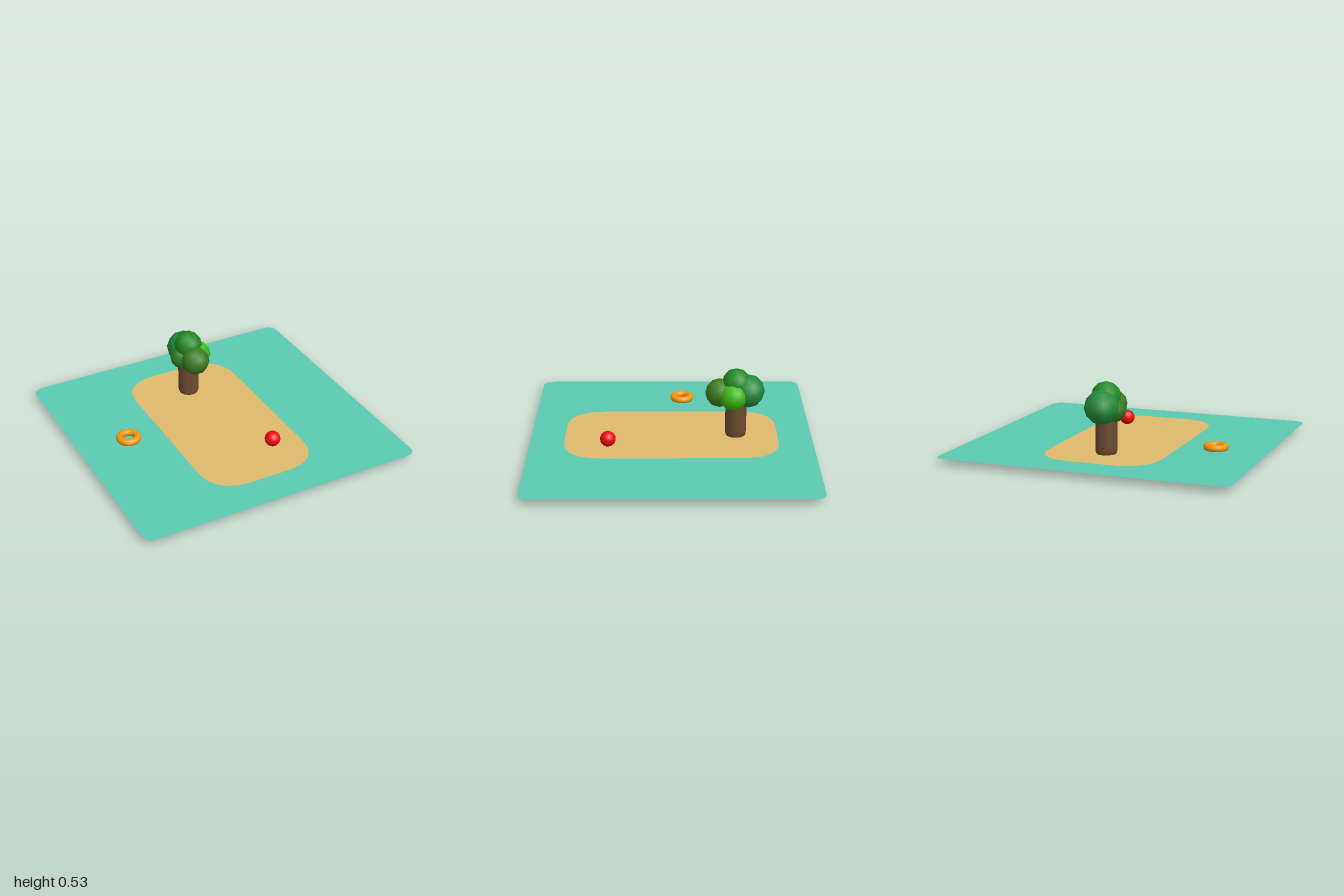
import * as THREE from 'three';

const paint = (color, extra = {}) => new THREE.MeshStandardMaterial({ color, ...extra });

function addPart(parent, name, geometry, material, x, y, z) {
  const mesh = new THREE.Mesh(geometry, material);
  mesh.name = name;
  mesh.position.set(x, y, z);
  parent.add(mesh);
  return mesh;
}

// Flat horizontal panel with softly curved corners
function roundedPanel(w, d, r) {
  const s = new THREE.Shape();
  s.moveTo(-w + r, -d);
  s.lineTo(w - r, -d);
  s.quadraticCurveTo(w, -d, w, -d + r);
  s.lineTo(w, d - r);
  s.quadraticCurveTo(w, d, w - r, d);
  s.lineTo(-w + r, d);
  s.quadraticCurveTo(-w, d, -w, d - r);
  s.lineTo(-w, -d + r);
  s.quadraticCurveTo(-w, -d, -w + r, -d);
  return new THREE.ShapeGeometry(s, 16).rotateX(-Math.PI / 2);
}

export function createModel() {
  const model = new THREE.Group();
  model.name = 'beachIsland';

  // Water sheet and the sand patch lying just above it
  addPart(model, 'water', roundedPanel(1, 0.97, 0.08),
    paint(0x5bc9b1, { side: THREE.DoubleSide }), 0, 0.042, 0);
  addPart(model, 'sand', roundedPanel(0.4, 0.735, 0.27), paint(0xdfb96d), 0, 0.044, 0);

  // Tree: capsule trunk under a cluster of low-poly leaf balls
  const tree = new THREE.Group();
  tree.name = 'tree';
  tree.position.set(0, 0, -0.445);
  model.add(tree);
  addPart(tree, 'trunk', new THREE.CapsuleGeometry(0.073, 0.26, 8, 24), paint(0x6b4a2f), 0, 0.203, 0);
  const leaves = [
    // name, x, y, z, radius, color
    ['leavesTop', 0, 0.427, 0, 0.1, 0x1f8a1f],
    ['leavesFront', 0, 0.354, 0.113, 0.1, 0x3a7d1e],
    ['leavesBack', 0, 0.367, -0.08, 0.116, 0x228b3a],
    ['leavesLeft', 0.058, 0.347, 0.023, 0.097, 0x3db912],
    ['leavesRight', -0.052, 0.337, 0, 0.081, 0x2f7d1e],
  ];
  for (const [name, x, y, z, r, color] of leaves) {
    addPart(tree, name, new THREE.IcosahedronGeometry(r, 1), paint(color), x, y, z);
  }

  // Beach ball on the sand
  addPart(model, 'ball', new THREE.SphereGeometry(0.053, 32, 20), paint(0xee0a0a), 0.193, 0.095, 0.433);

  // Swim ring floating in the water
  const ring = new THREE.TorusGeometry(0.061, 0.025, 16, 40).rotateX(Math.PI / 2);
  addPart(model, 'swimRing', ring, paint(0xf2960f), -0.643, 0.06, -0.08);

  return model;
}
